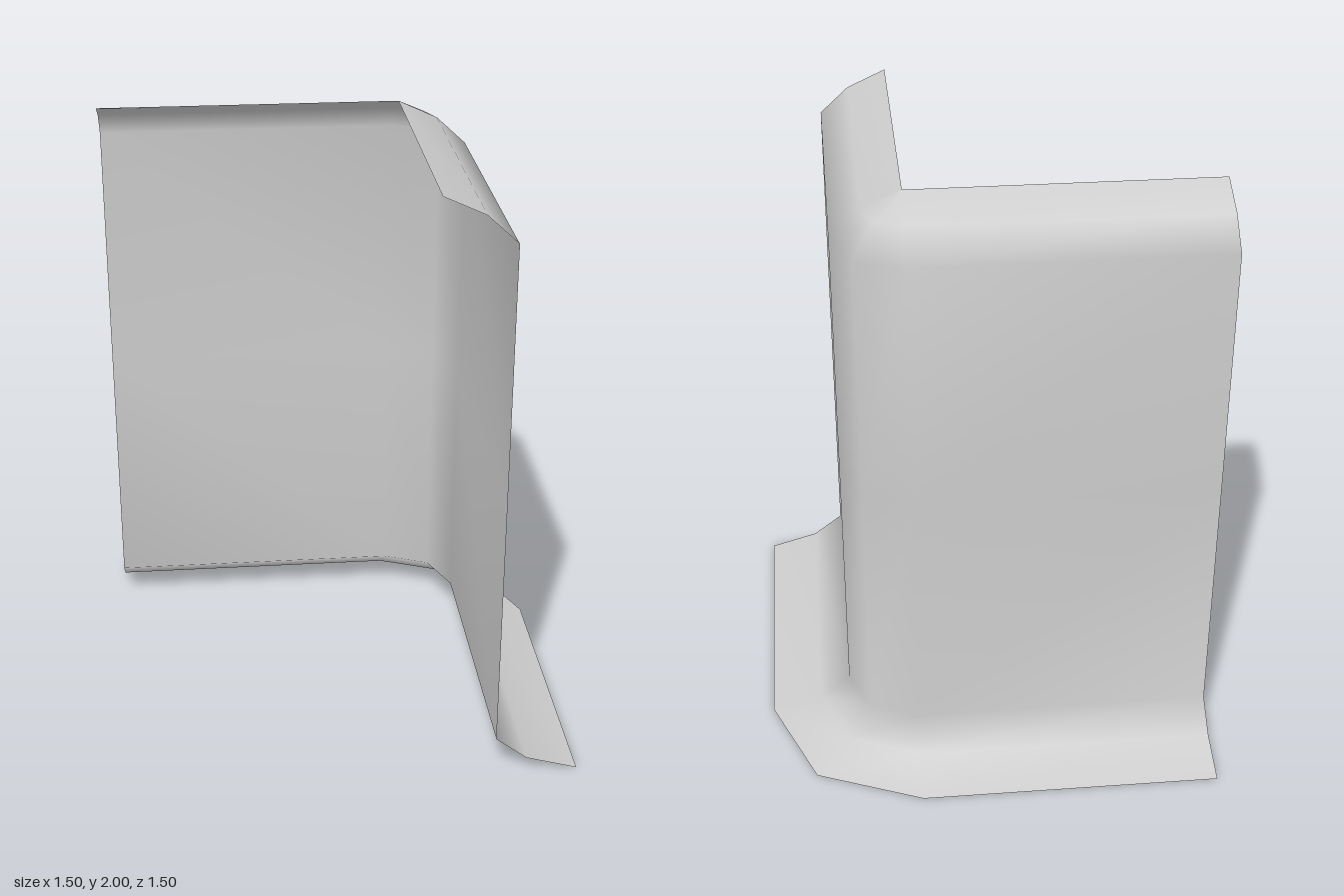
import * as THREE from 'three';

export function createModel() {
  const group = new THREE.Group();
  group.name = 'cornerTrim';

  const lightGrey = new THREE.MeshStandardMaterial({ color: 0xcccccc, side: THREE.DoubleSide });
  lightGrey.name = 'lightGrey';

  // Wall section from top lip to bottom flare: [offset from the inner line, height]
  const profile = [[0, 2], [0.13, 1.94], [0.227, 1.85], [0.227, 1], [0.227, 0.13], [0.33, 0.05], [0.5, 0]];

  // Path around the corner: [base x, base z, outward x, outward z]
  const h = Math.SQRT1_2;
  const path = [
    [0.25, 0.75, 1, 0],
    [0.25, -0.25, 1, 0],
    [0.25, -0.25, h, -h],
    [0.25, -0.25, 0, -1],
    [-0.75, -0.25, 0, -1],
  ];

  // Sweep the section along the path by bending a grid
  const geometry = new THREE.PlaneGeometry(1, 1, path.length - 1, profile.length - 1);
  const position = geometry.attributes.position;
  profile.forEach(([offset, y], row) => {
    path.forEach(([x, z, nx, nz], column) => {
      position.setXYZ(row * path.length + column, x + nx * offset, y, z + nz * offset);
    });
  });
  geometry.computeVertexNormals();

  const wall = new THREE.Mesh(geometry, lightGrey);
  wall.name = 'flaredCornerWall';
  group.add(wall);
  return group;
}
